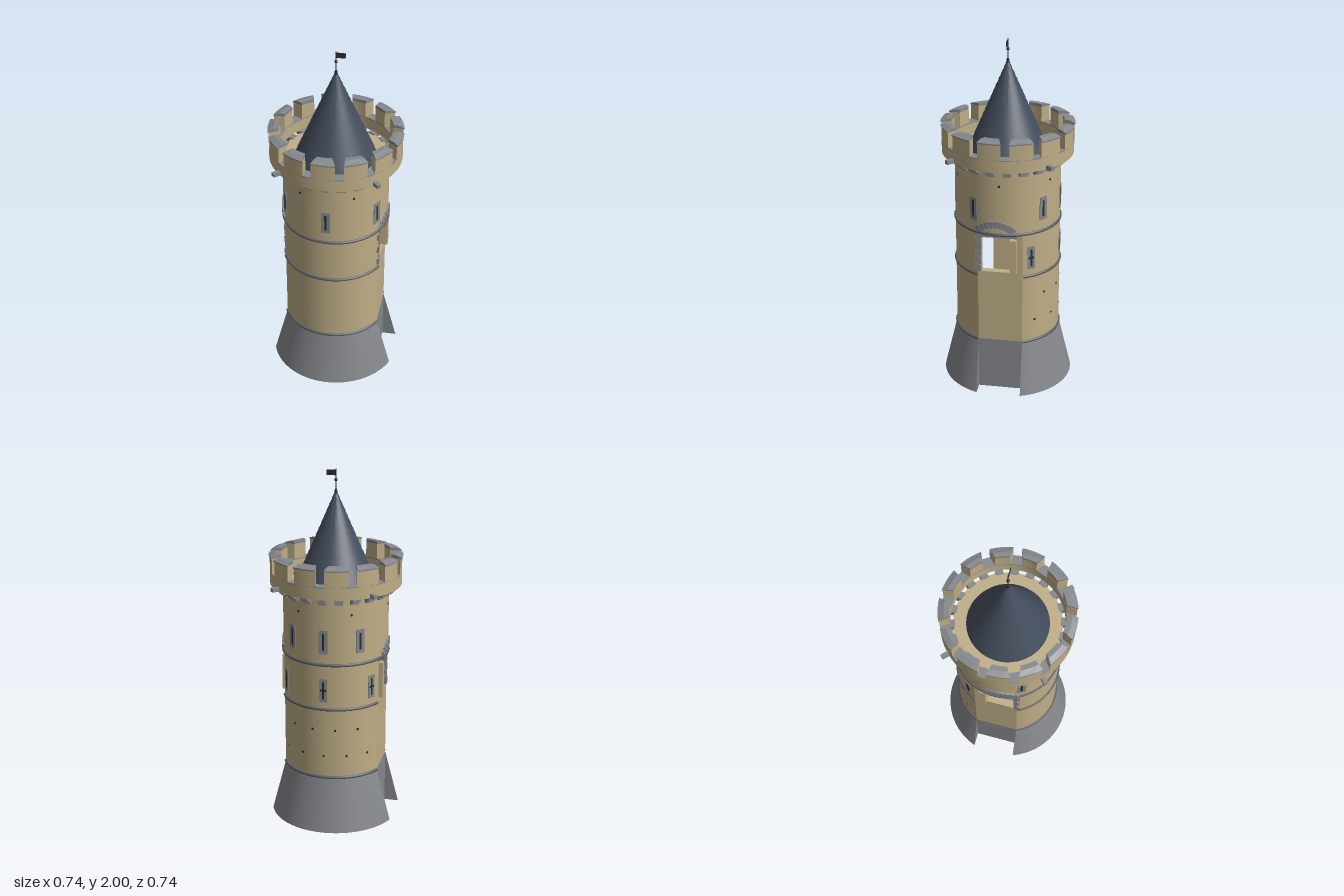
import * as THREE from 'three';
import { toCreasedNormals } from 'three/addons/utils/BufferGeometryUtils.js';
import { ParametricGeometry } from 'three/addons/geometries/ParametricGeometry.js';

const DEG = Math.PI / 180;
const R = 0.295;            // wall radius
const W = 0.125;            // half width of the flat sides
const FLAT = Math.sqrt(R * R - W * W);
const BASE_R = 0.37, BASE_H = 0.31, FLAT_TOP = 0.98;

const mat = (color, side = THREE.FrontSide) => new THREE.MeshStandardMaterial({ color, side });
const tan = mat(0xbfae87), grey = mat(0x85888c), darkGrey = mat(0x5c5f64), slate = mat(0x434c5c), dark = mat(0x2b2c2f);
const greyThin = mat(0x85888c, THREE.DoubleSide), flagMat = mat(0x2b2c2f, THREE.DoubleSide);

function add(parent, name, geometry, material, x = 0, y = 0, z = 0) {
  const m = new THREE.Mesh(geometry, material);
  m.name = name;
  m.position.set(x, y, z);
  parent.add(m);
  return m;
}

// Group turned so its local +z points outward at the given bearing from the front
function spoke(parent, name, degrees) {
  const g = new THREE.Group();
  g.name = name;
  g.rotation.y = degrees * DEG;
  parent.add(g);
  return g;
}

const lathe = (pts, n = 64) => toCreasedNormals(new THREE.LatheGeometry(pts.map(p => new THREE.Vector2(...p)), n), 0.5);

// Ring segment between two radii, standing from y0 to y1, with its own half angle at each radius
function wedge(r0, r1, h0, h1, y0, y1) {
  const pts = [], n = 6;
  for (let i = 0; i <= n; i++) { const a = h1 * (2 * i / n - 1); pts.push(new THREE.Vector2(r1 * Math.sin(a), -r1 * Math.cos(a))); }
  for (let i = n; i >= 0; i--) { const a = h0 * (2 * i / n - 1); pts.push(new THREE.Vector2(r0 * Math.sin(a), -r0 * Math.cos(a))); }
  return new THREE.ExtrudeGeometry(new THREE.Shape(pts), { depth: y1 - y0, bevelEnabled: false }).rotateX(-Math.PI / 2).translate(0, y0, 0);
}

const baseRadius = y => BASE_R + (R - BASE_R) * y / BASE_H;

function addBase(tower) {
  // Battered skirt in a front and a back half, cut by the side notches
  const skirt = new ParametricGeometry((u, v, p) => {
    const r = baseRadius(v * BASE_H), a = (2 * u - 1) * Math.acos(W / r);
    p.set(r * Math.sin(a), v * BASE_H, r * Math.cos(a));
  }, 40, 4);
  // Underside with notches
  const pts = [];
  const half = Math.acos(W / BASE_R);
  for (const s of [1, -1]) {
    pts.push(new THREE.Vector2(s * FLAT, s * W));
    for (let i = 0; i <= 32; i++) {
      const a = half * (1 - i / 16);
      pts.push(new THREE.Vector2(s * BASE_R * Math.sin(a), s * BASE_R * Math.cos(a)));
    }
    pts.push(new THREE.Vector2(-s * FLAT, s * W));
  }
  add(tower, 'baseUnderside', new THREE.ShapeGeometry(new THREE.Shape(pts)).rotateX(Math.PI / 2), greyThin);
  // Notch cheeks
  const cheek = [new THREE.Vector2(FLAT, 0)];
  for (let i = 0; i <= 6; i++) {
    const y = BASE_H * i / 6;
    cheek.push(new THREE.Vector2(Math.sqrt(baseRadius(y) ** 2 - W * W), y));
  }
  const cheekGeo = new THREE.ShapeGeometry(new THREE.Shape(cheek));
  for (const turn of [0, 180]) {
    const g = spoke(tower, 'baseHalf', turn);
    add(g, 'skirt', skirt, grey);
    add(g, 'notchCheek', cheekGeo, greyThin, 0, 0, W);
    add(g, 'notchCheek', cheekGeo, greyThin, 0, 0, -W);
  }
}

function addWalls(tower) {
  const half = Math.acos(W / R);
  const wall = new THREE.CylinderGeometry(R, R, FLAT_TOP - BASE_H, 40, 1, true, -half, 2 * half);
  const band = new THREE.TorusGeometry(R, 0.009, 8, 48, 2 * half).rotateZ(Math.PI / 2 - half).rotateX(Math.PI / 2);
  for (const turn of [0, 180]) {
    const g = spoke(tower, 'lowerWall', turn);
    add(g, 'roundWall', wall, tan, 0, (BASE_H + FLAT_TOP) / 2);
    for (const y of [BASE_H, 0.72]) add(g, 'stringCourse', band, darkGrey, 0, y);
  }
  add(tower, 'upperWall', new THREE.CylinderGeometry(R, R, 1.365 - FLAT_TOP, 72, 1, true), tan, 0, (1.365 + FLAT_TOP) / 2);
  add(tower, 'stringCourse', new THREE.TorusGeometry(R, 0.009, 8, 72).rotateX(Math.PI / 2), darkGrey, 0, FLAT_TOP);
  add(tower, 'roofDeck', new THREE.CircleGeometry(R, 72).rotateX(-Math.PI / 2), tan, 0, 1.365);
}

// Flat side with doorway, quoins, lintel, jamb post and relieving arch (shape u runs along -z)
function doorwaySide() {
  const side = new THREE.Group();
  side.name = 'doorwaySide';
  const rect = (P, u0, u1, y0, y1) => {
    const p = new P();
    p.moveTo(u0, y0).lineTo(u1, y0).lineTo(u1, y1).lineTo(u0, y1).closePath();
    return p;
  };
  const panel = rect(THREE.Shape, -W, W, BASE_H, FLAT_TOP);
  panel.holes.push(rect(THREE.Path, -0.106, 0.095, 0.74, 0.95));
  add(side, 'flatWall', new THREE.ExtrudeGeometry(panel, { depth: 0.04, bevelEnabled: false }).rotateY(Math.PI / 2), tan, FLAT - 0.04);
  add(side, 'notchWall', new THREE.PlaneGeometry(2 * W, BASE_H).rotateY(Math.PI / 2), grey, FLAT, BASE_H / 2);
  for (let i = 0; i < 5; i++) {
    const w = i % 2 ? 0.02 : 0.034;
    add(side, 'quoin', new THREE.BoxGeometry(0.045, 0.04, w), grey, 0.249, 0.762 + i * 0.042, 0.106 + w / 2);
  }
  add(side, 'lintel', new THREE.BoxGeometry(0.045, 0.03, 0.22), grey, 0.249, 0.965, 0.015);
  add(side, 'jambPost', new THREE.BoxGeometry(0.05, 0.205, 0.037), tan, 0.265, 0.842, -0.074);
  // Voussoirs bent around the wall
  const arch = new THREE.Group();
  arch.name = 'arch';
  side.add(arch);
  const n = 9, step = 100 * DEG / n;
  for (let i = 0; i < n; i++) {
    const a0 = -50 * DEG + i * step + 0.008, pts = [];
    for (const [r, ts] of [[0.154, [0, 0.5, 1]], [0.116, [1, 0.5, 0]]])
      for (const t of ts) {
        const a = a0 + t * (step - 0.016);
        pts.push(new THREE.Vector2(-0.022 + r * Math.sin(a), 0.906 + r * Math.cos(a)));
      }
    const geo = new THREE.ExtrudeGeometry(new THREE.Shape(pts), { depth: 0.03, bevelEnabled: false }).rotateY(Math.PI / 2);
    const p = geo.attributes.position;
    for (let k = 0; k < p.count; k++) p.setX(k, p.getX(k) + Math.sqrt(R * R - p.getZ(k) ** 2) - 0.02);
    geo.computeVertexNormals();
    add(arch, 'voussoir', geo, grey);
  }
  return side;
}

function addWindows(tower) {
  for (const a of [0, 60, 140, 180, 220, 300]) {
    const g = spoke(tower, 'slitWindow', a);
    add(g, 'surround', new THREE.BoxGeometry(0.05, 0.135, 0.02), grey, 0, 1.112, R - 0.007);
    add(g, 'slit', new THREE.BoxGeometry(0.013, 0.095, 0.02), dark, 0, 1.112, R - 0.006);
  }
  for (const a of [125, 180, 235]) {
    const g = spoke(tower, 'crossWindow', a);
    add(g, 'surround', new THREE.BoxGeometry(0.045, 0.135, 0.02), grey, 0, 0.832, R - 0.007);
    add(g, 'slit', new THREE.BoxGeometry(0.011, 0.1, 0.02), dark, 0, 0.832, R - 0.006);
    add(g, 'crossSlit', new THREE.BoxGeometry(0.034, 0.012, 0.02), dark, 0, 0.832, R - 0.006);
  }
  // Small scaffold holes in rows
  const hole = new THREE.CylinderGeometry(0.007, 0.007, 0.01, 10).rotateX(Math.PI / 2);
  const rows = [[1.265, 30, 60, 6], [0.595, 142.5, 25, 4], [0.44, 130, 25, 5]];
  for (const [y, start, gap, count] of rows)
    for (let i = 0; i < count; i++) add(spoke(tower, 'scaffoldHole', start + i * gap), 'hole', hole, dark, 0, y, R - 0.003);
}

function addParapet(tower) {
  const ri = 0.31, ro = 0.365;
  add(tower, 'parapetWall', lathe([[ro, 1.37], [ro, 1.437], [ri, 1.437], [ri, 1.37], [ro, 1.37]], 78), tan);
  add(tower, 'parapetSill', lathe([[ro, 1.436], [ro, 1.442], [ri, 1.442], [ri, 1.436]], 78), grey);
  // Merlons, splayed so the gaps widen inward, with a sloped coping
  const N = 13, h1 = 10.2 * DEG, hm = 8.8 * DEG, h0 = 7.4 * DEG;
  const block = wedge(ri, ro, h0, h1, 1.437, 1.528);
  const flatCap = wedge(ri, 0.338, h0, hm, 1.528, 1.545);
  const slopeCap = wedge(0.338, 0.37, hm, h1, 1.526, 1.545);
  const p = slopeCap.attributes.position;
  for (let i = 0; i < p.count; i++)
    if (p.getY(i) > 1.54 && Math.hypot(p.getX(i), p.getZ(i)) > 0.35) p.setY(i, 1.534);
  slopeCap.computeVertexNormals();
  for (let i = 0; i < N; i++) {
    const g = spoke(tower, 'merlon', i * 360 / N);
    add(g, 'merlonBlock', block, tan);
    add(g, 'copingInner', flatCap, grey);
    add(g, 'copingSlope', slopeCap, grey);
  }
  // Stepped corbels
  for (let i = 0; i < 22; i++) {
    const g = spoke(tower, 'corbel', i * 360 / 22);
    [[0.35, 1.357], [0.335, 1.342], [0.315, 1.327]].forEach(([r, y]) =>
      add(g, 'corbelStep', new THREE.BoxGeometry(0.044, 0.015, r - 0.285), grey, 0, y + 0.0075, (r + 0.285) / 2));
  }
  // Water spouts
  for (const a of [45, 135, 225, 315])
    add(spoke(tower, 'waterSpout', a), 'spout', new THREE.BoxGeometry(0.024, 0.022, 0.095), grey, 0, 1.383, 0.358);
}

function addRoof(tower) {
  // Slate courses, each overlapping the one below
  const n = 15, y0 = 1.366, y1 = 1.875, pts = [[0.2, y0], [0.225, y0]];
  for (let i = 0; i < n; i++) {
    const r = t => 0.225 + (0.006 - 0.225) * t;
    if (i) pts.push([r(i / n) + 0.002, y0 + (y1 - y0) * i / n]);
    pts.push([r((i + 1) / n) - 0.001, y0 + (y1 - y0) * (i + 1) / n]);
  }
  add(tower, 'coneRoof', lathe(pts, 64), slate);
  add(tower, 'finialCollar', new THREE.CylinderGeometry(0.006, 0.01, 0.025, 16), dark, 0, 1.878);
  add(tower, 'flagPole', new THREE.CylinderGeometry(0.003, 0.003, 0.13, 10), dark, 0, 1.935);
  add(tower, 'finialBall', new THREE.SphereGeometry(0.009, 16, 12), dark, 0, 1.942);
  add(tower, 'flag', new THREE.BoxGeometry(0.05, 0.03, 0.003), flagMat, 0.026, 1.98);
}

export function createModel() {
  const tower = new THREE.Group();
  tower.name = 'roundTower';
  addBase(tower);
  addWalls(tower);
  const left = doorwaySide(), right = left.clone();
  right.scale.x = -1;
  tower.add(left, right);
  addWindows(tower);
  addParapet(tower);
  addRoof(tower);
  return tower;
}
